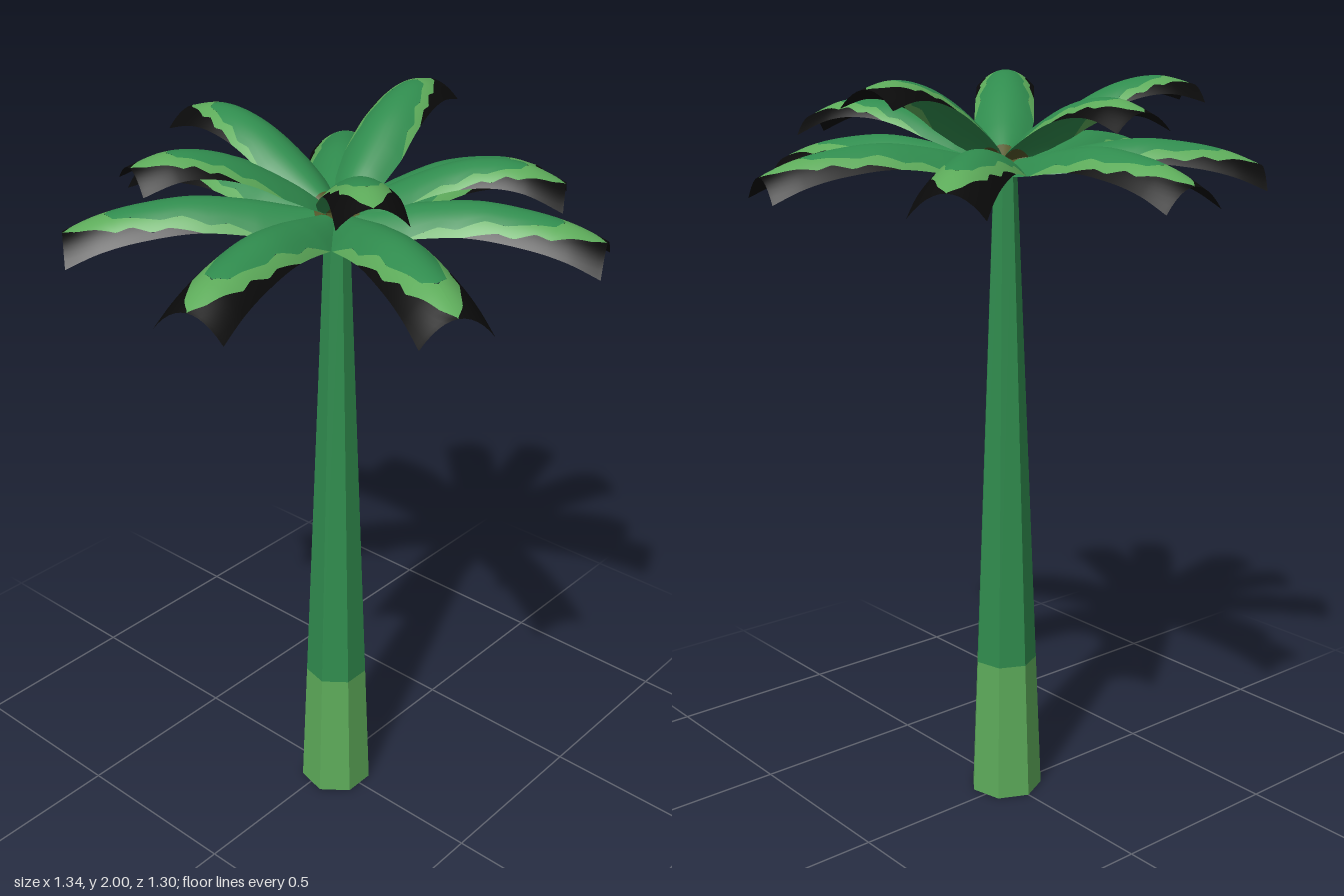
import * as THREE from 'three';

const mat = (name, color) => {
  const m = new THREE.MeshStandardMaterial({ color, side: THREE.DoubleSide });
  m.name = name;
  return m;
};

// Piecewise linear lookup through [t, value] points
function lerpTable(points, t) {
  for (let i = 1; i < points.length; i++) {
    const [a, va] = points[i - 1], [b, vb] = points[i];
    if (t <= b) return va + (vb - va) * Math.max(0, (t - a) / (b - a));
  }
  return points[points.length - 1][1];
}

// Half widths of the painted zones along a frond, as a fraction of its width
const LIGHT_ZONE = [[0, 1], [0.48, 1], [0.58, 0.84], [0.63, 0.88], [0.7, 0.68], [0.76, 0.72], [0.84, 0.5], [0.92, 0.3], [0.98, 0.03], [1, 0]];
const DARK_ZONE = [[0, 1], [0.3, 1], [0.4, 0.8], [0.46, 0.86], [0.54, 0.62], [0.6, 0.66], [0.7, 0.44], [0.77, 0.34], [0.8, 0], [1, 0]];
const WIDTH = [[0, 0.3], [0.08, 0.5], [0.18, 0.82], [0.3, 1], [1, 1]];
const BASE_END = 0.09;
const START = 0.02;

const LOWER_ARC = [[0.02, 1.785], [0.1, 1.8], [0.22, 1.825], [0.35, 1.84], [0.48, 1.828], [0.58, 1.805], [0.665, 1.77]];
const UPPER_ARC = [[0.02, 1.79], [0.12, 1.87], [0.25, 1.95], [0.35, 1.988], [0.44, 1.998], [0.53, 1.98]];

// Surface strip between two width fractions, from v0 to v1 along the frond
function stripGeometry(point, v0, v1, from, to, rows = 50, cols = 6) {
  const pos = [], index = [];
  for (let i = 0; i <= rows; i++) {
    const v = v0 + ((v1 - v0) * i) / rows;
    for (let j = 0; j <= cols; j++) {
      const u = from(v) + ((to(v) - from(v)) * j) / cols;
      pos.push(...point(u, v));
    }
  }
  for (let i = 0; i < rows; i++) {
    const va = v0 + ((v1 - v0) * i) / rows, vb = v0 + ((v1 - v0) * (i + 1)) / rows;
    if (to(va) - from(va) + to(vb) - from(vb) < 1e-5) continue;
    for (let j = 0; j < cols; j++) {
      const a = i * (cols + 1) + j, b = a + cols + 1;
      index.push(a, a + 1, b, a + 1, b + 1, b);
    }
  }
  const g = new THREE.BufferGeometry();
  g.setAttribute('position', new THREE.Float32BufferAttribute(pos, 3));
  g.setIndex(index);
  g.computeVertexNormals();
  return g;
}

// One arched frond with a dark middle, pale fringe and black margin
function makeFrond(o, mats) {
  const curve = new THREE.SplineCurve(o.arc.map(([r, y]) => {
    const rise = (y - 1.79) * o.lift - o.droop * (r / 0.53) ** 3;
    return new THREE.Vector2(r, 1.79 + rise);
  }));
  const sin = Math.sin(o.angle), cos = Math.cos(o.angle);
  const point = (u, v) => {
    const p = curve.getPoint(v);
    const w = o.halfWidth * lerpTable(WIDTH, v);
    const r = START + (p.x - START) * o.reach;
    const y = p.y - o.depth * u * u * lerpTable(WIDTH, v);
    return [o.x + sin * r + cos * u * w, y, o.z - cos * r + sin * u * w];
  };
  const light = (v) => lerpTable(LIGHT_ZONE, v), dark = (v) => lerpTable(DARK_ZONE, v);
  const neg = (f) => (v) => -f(v);
  const one = () => 1;
  const frond = new THREE.Group();
  const add = (name, material, ...args) => {
    const m = new THREE.Mesh(stripGeometry(point, ...args), material);
    m.name = name;
    frond.add(m);
  };
  add('frondBase', mats.olive, 0, BASE_END, neg(one), one, 6, 8);
  add('frondMiddle', mats.dark, BASE_END, 0.8, neg(dark), dark, 50, 10);
  add('frondFringeLeft', mats.light, 0.3, 1, dark, light);
  add('frondFringeRight', mats.light, 0.3, 1, neg(light), neg(dark));
  add('frondMarginLeft', mats.black, 0.48, 1, light, one);
  add('frondMarginRight', mats.black, 0.48, 1, neg(one), neg(light));
  return frond;
}

export function createModel() {
  const mats = {
    dark: mat('deepGreen', 0x308c4e),
    light: mat('paleGreen', 0x5dab5a),
    black: mat('black', 0x0a0a0a),
    olive: mat('olive', 0x55582a),
  };
  const model = new THREE.Group();
  model.name = 'palmTree';

  // Seven-sided tapering trunk, open at both ends
  const radiusAt = (y) => 0.1026 + (0.031 - 0.1026) * (y / 1.785);
  const addTrunk = (name, y0, y1, material) => {
    const g = new THREE.CylinderGeometry(radiusAt(y1), radiusAt(y0), y1 - y0, 7, 1, true).toNonIndexed();
    g.rotateY(Math.PI);
    g.translate(0, (y0 + y1) / 2, 0.021);
    g.computeVertexNormals();
    const m = new THREE.Mesh(g, material);
    m.name = name;
    model.add(m);
  };
  addTrunk('trunkFoot', 0, 0.395, mats.light);
  addTrunk('trunk', 0.395, 1.785, mats.dark);

  // Lower ring of seven even fronds
  for (let i = 0; i < 7; i++) {
    const frond = makeFrond({
      arc: LOWER_ARC, angle: (i * Math.PI * 2) / 7, x: 0, z: 0.016,
      halfWidth: 0.091, depth: 0.058, lift: 1, droop: 0, reach: 1,
    }, mats);
    frond.name = 'lowerFrond' + (i + 1);
    model.add(frond);
  }

  // Upper ring of five uneven fronds: angle, lift, droop, reach
  [[4, 0.87, 0.025, 1.04], [76, 1, 0, 1], [149, 0.82, 0.06, 1.03], [221, 1, 0, 1], [292, 1, 0.01, 1]]
    .forEach(([deg, lift, droop, reach], i) => {
      const frond = makeFrond({
        arc: UPPER_ARC, angle: THREE.MathUtils.degToRad(deg), x: 0.008, z: 0.02,
        halfWidth: 0.08, depth: 0.045, lift, droop, reach,
      }, mats);
      frond.name = 'upperFrond' + (i + 1);
      model.add(frond);
    });
  return model;
}
